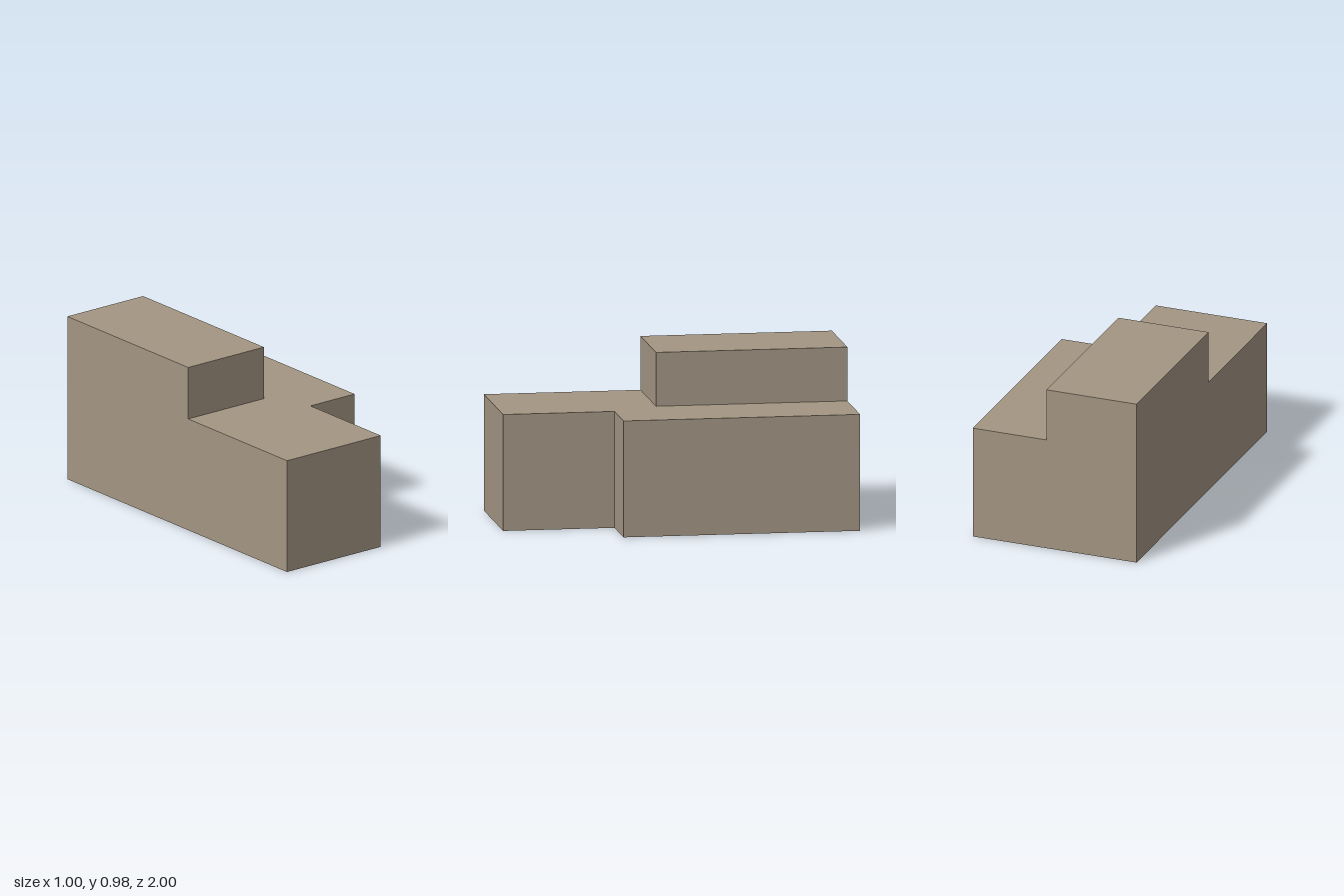
import * as THREE from 'three';

export function createModel() {
  const group = new THREE.Group();
  group.name = 'steppedBuilding';
  const material = new THREE.MeshStandardMaterial({ color: 0xa39583, flatShading: true });

  // Extrudes a floor plan of [x, z] corners upward from y0 to y1
  const addStorey = (name, plan, y0, y1) => {
    const shape = new THREE.Shape(plan.map(([x, z]) => new THREE.Vector2(x, -z)));
    const geometry = new THREE.ExtrudeGeometry(shape, { depth: y1 - y0, bevelEnabled: false });
    geometry.rotateX(-Math.PI / 2);
    const mesh = new THREE.Mesh(geometry, material);
    mesh.name = name;
    mesh.position.y = y0;
    group.add(mesh);
  };

  // Main storey: long block with a notch in the front left corner
  addStorey('mainStorey', [
    [-0.5, 1], [0.18, 1], [0.18, 0.36], [0.5, 0.36], [0.5, -1], [-0.5, -1],
  ], 0, 0.67);

  // Upper storey: flush with the back and right walls
  addStorey('upperStorey', [
    [-0.5, 0.1], [0.05, 0.1], [0.05, -1], [-0.5, -1],
  ], 0.67, 0.98);

  return group;
}
